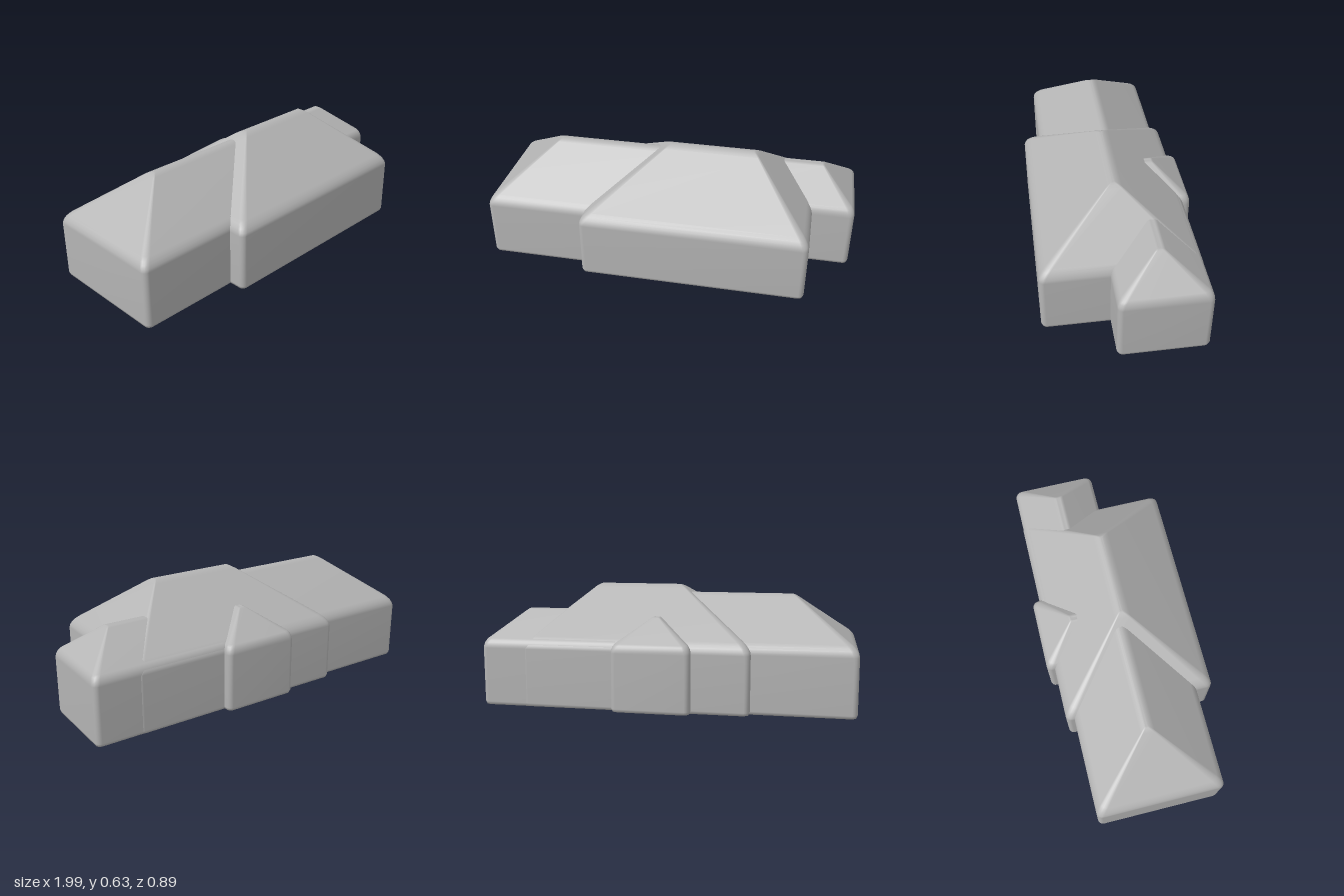
import * as THREE from 'three';

const EAVE = 0.348;
const CORNER_STEPS = 4;

// Rounded rectangle outline [x0, x1, z0, z1] at height y
function ring([x0, x1, z0, z1], radius, y) {
  const r = Math.min(radius, (x1 - x0) / 2, (z1 - z0) / 2);
  const centres = [[x1 - r, z1 - r], [x0 + r, z1 - r], [x0 + r, z0 + r], [x1 - r, z0 + r]];
  const points = [];
  centres.forEach(([cx, cz], k) => {
    for (let i = 0; i <= CORNER_STEPS; i++) {
      const a = (k + i / CORNER_STEPS) * Math.PI / 2;
      points.push([cx + r * Math.cos(a), y, cz + r * Math.sin(a)]);
    }
  });
  return points;
}

// Soft-edged block with a hipped roof rising from the base rectangle to the ridge line
function hipBlock(name, base, ridge, top, material) {
  const rise = top - EAVE;
  const w = 0.006;
  const crest = [ridge[0] - w, ridge[1] + w, ridge[2] - w, ridge[3] + w];
  const inset = (d) => [base[0] + d, base[1] - d, base[2] + d, base[3] - d];
  const towards = (t) => base.map((v, i) => v + (crest[i] - v) * t);

  // Foot and walls
  const rings = [
    ring(inset(0.02), 0.02, 0.003),
    ring(inset(0.006), 0.024, 0.008),
    ring(inset(0), 0.028, 0.024),
    ring(inset(0), 0.028, EAVE - 0.032),
  ];
  // Rounded eave, slopes and rounded ridge: [progress to ridge, drop below the slope]
  const profile = [[0.008, 0.018], [0.03, 0.008], [0.06, 0.003], [0.1, 0],
    [0.91, 0], [0.95, 0.002], [0.98, 0.006], [1, 0.01]];
  for (const [t, drop] of profile) {
    rings.push(ring(towards(t), 0.028 * (1 - t) + 0.005, EAVE + rise * t - drop));
  }

  const n = rings[0].length;
  const positions = rings.flat(2);
  const index = [];
  for (let j = 0; j < rings.length - 1; j++) {
    for (let i = 0; i < n; i++) {
      const a = j * n + i, b = j * n + (i + 1) % n;
      index.push(a, a + n, b, b, a + n, b + n);
    }
  }
  // Close the floor and the ridge
  const last = (rings.length - 1) * n, floor = rings.length * n, cap = floor + 1;
  positions.push((base[0] + base[1]) / 2, 0.003, (base[2] + base[3]) / 2);
  positions.push((ridge[0] + ridge[1]) / 2, top - 0.01, (ridge[2] + ridge[3]) / 2);
  for (let i = 0; i < n; i++) {
    const k = (i + 1) % n;
    index.push(floor, i, k, cap, last + k, last + i);
  }

  const geometry = new THREE.BufferGeometry();
  geometry.setAttribute('position', new THREE.Float32BufferAttribute(positions, 3));
  geometry.setIndex(index);
  geometry.computeVertexNormals();
  const mesh = new THREE.Mesh(geometry, material);
  mesh.name = name;
  return mesh;
}

export function createModel() {
  const plaster = new THREE.MeshStandardMaterial({ color: 0xb4b4b4 });
  plaster.name = 'plain grey';

  // The whole house sits slightly turned on its plot
  const house = new THREE.Group();
  house.name = 'house';
  house.rotation.y = -0.045;
  house.add(
    hipBlock('mainBlock', [-0.45, 0.755, -0.406, 0.407], [-0.015, 0.415, 0, 0], 0.648, plaster),
    hipBlock('rightWing', [-0.987, 0.2, -0.363, 0.318], [-0.63, 0.05, -0.022, -0.022], 0.608, plaster),
    hipBlock('leftWing', [0.2, 0.979, -0.404, 0.059], [0.45, 0.775, -0.167, -0.167], 0.517, plaster),
    hipBlock('rearBay', [-0.15, 0.265, -0.447, 0], [0.06, 0.06, -0.25, -0.15], 0.493, plaster),
  );

  const model = new THREE.Group();
  model.name = 'model';
  model.add(house);
  return model;
}
